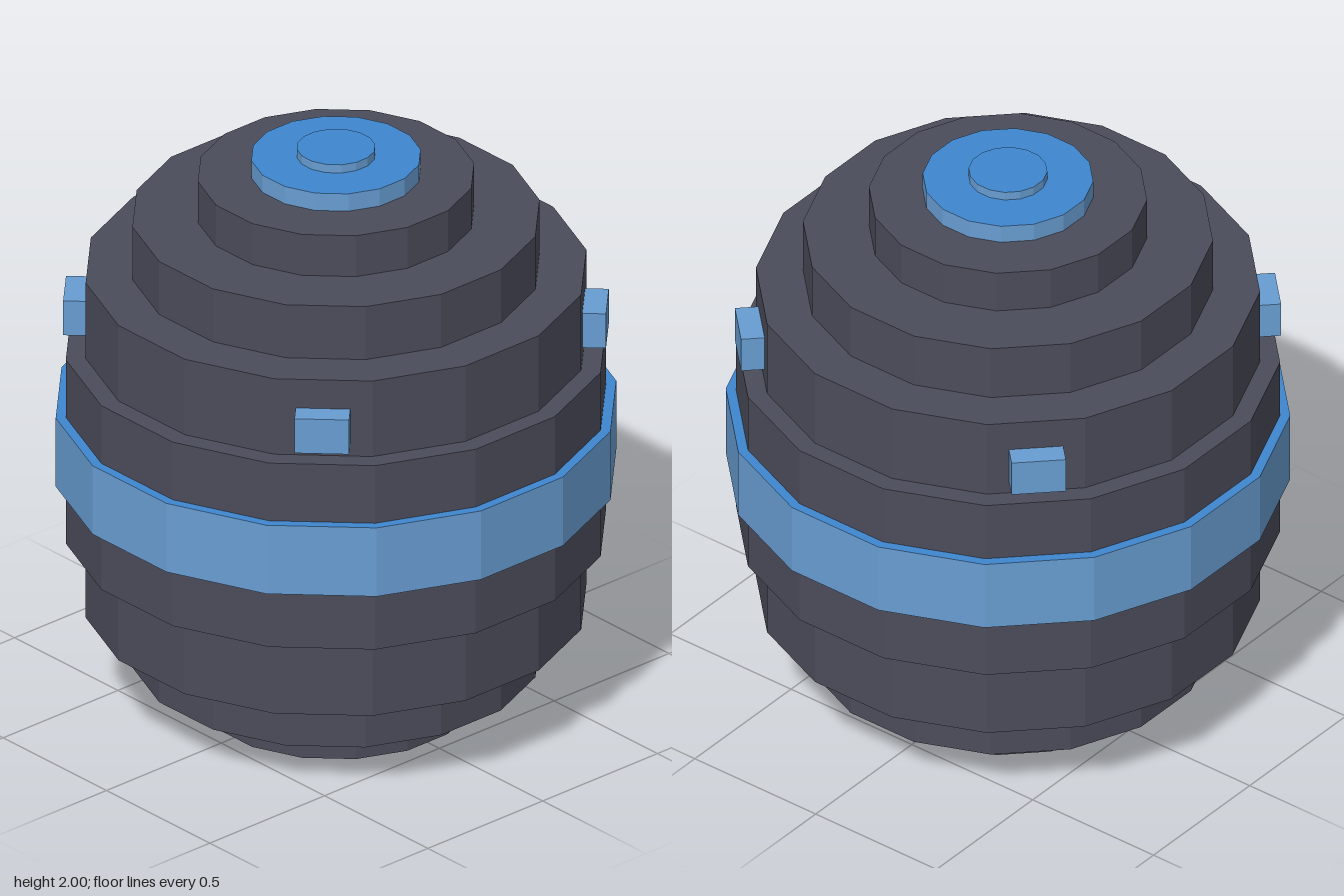
import * as THREE from 'three';

const SIDES = 16;

function material(name, color) {
  const m = new THREE.MeshStandardMaterial({ color });
  m.name = name;
  return m;
}

export function createModel() {
  const charcoal = material('charcoal', 0x4b4c5a);
  const paleBlue = material('pale blue', 0x689dd2);
  const deepBlue = material('deep blue', 0x3e86ce);
  const blueTrim = [paleBlue, deepBlue, deepBlue]; // side, top, bottom

  const model = new THREE.Group();
  model.name = 'steppedSphere';

  // Faceted disc from y0 to y1, turned so a flat side faces the front
  function disc(name, radius, y0, y1, mat) {
    const geometry = new THREE.CylinderGeometry(radius, radius, y1 - y0, SIDES).toNonIndexed();
    geometry.rotateY(Math.PI / SIDES);
    geometry.translate(0, (y0 + y1) / 2, 0);
    geometry.computeVertexNormals();
    const mesh = new THREE.Mesh(geometry, mat);
    mesh.name = name;
    model.add(mesh);
  }

  // Stepped body, bottom to top
  const tiers = [
    [0.452, 0, 0.152],
    [0.666, 0.152, 0.345],
    [0.819, 0.345, 0.62],
    [0.884, 0.62, 1.29],
    [0.819, 1.29, 1.565],
    [0.666, 1.565, 1.758],
    [0.452, 1.758, 1.907],
  ];
  tiers.forEach(([r, y0, y1], i) => disc(`bodyTier${i + 1}`, r, y0, y1, charcoal));

  // Belt and top cap
  disc('belt', 0.917, 0.83, 1.08, blueTrim);
  disc('capBase', 0.277, 1.907, 1.97, blueTrim);
  disc('capButton', 0.128, 1.97, 2, blueTrim);

  // Four studs on the diagonals of the upper tier
  for (let i = 0; i < 4; i++) {
    const geometry = new THREE.BoxGeometry(0.177, 0.125, 0.12);
    geometry.translate(0, 1.398, 0.82);
    geometry.rotateY(Math.PI / 4 + (i * Math.PI) / 2);
    const stud = new THREE.Mesh(geometry, paleBlue);
    stud.name = `stud${i + 1}`;
    model.add(stud);
  }

  return model;
}
